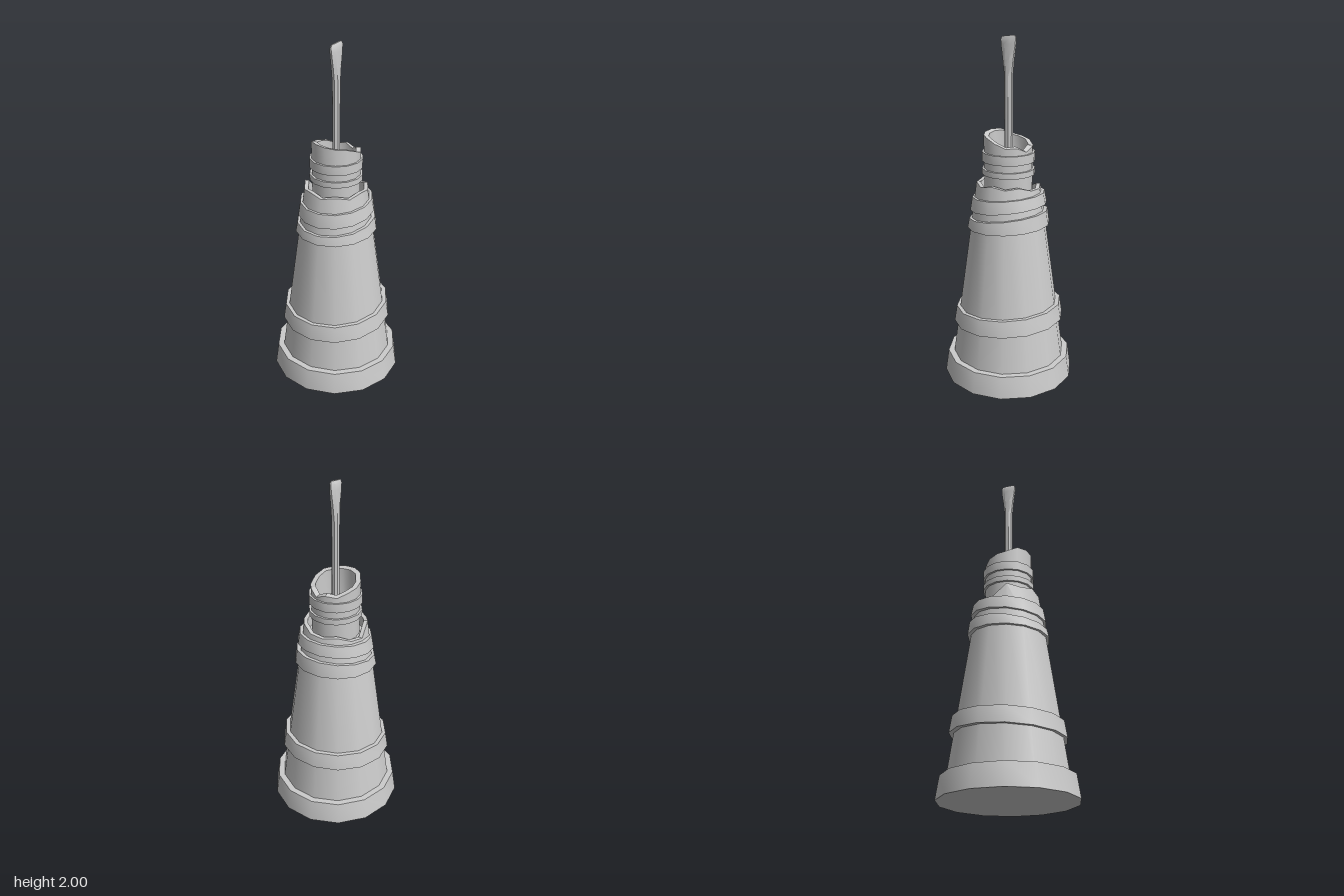
import * as THREE from 'three';
import { toCreasedNormals } from 'three/addons/utils/BufferGeometryUtils.js';

const SIDES = 14;
const material = new THREE.MeshStandardMaterial({ color: 0xcccccc });

// Revolves [radius, height, lift] points; lift(z, i) raises a point on side i.
function turned(name, profile) {
  const points = profile.map(([r, y]) => new THREE.Vector2(r, y));
  const geometry = new THREE.LatheGeometry(points, SIDES, Math.PI / 2);
  const pos = geometry.attributes.position;
  for (let n = 0; n < pos.count; n++) {
    const lift = profile[n % profile.length][2];
    const side = Math.floor(n / profile.length) % SIDES;
    if (lift) pos.setY(n, pos.getY(n) + lift(pos.getZ(n), side));
  }
  const mesh = new THREE.Mesh(toCreasedNormals(geometry, 0.55), material);
  mesh.name = name;
  return mesh;
}

const tilt = (k) => (z) => -k * z;
const jagged = (heights) => (z, i) => heights[i];

// A closed hoop with sloping lower and upper edges.
function band(name, [r0, y0, k0], [r1, y1, k1], thickness) {
  const low = tilt(k0), high = tilt(k1);
  return turned(name, [
    [r0 - thickness, y0, low], [r0, y0, low], [r1, y1, high],
    [r1 - thickness, y1, high], [r0 - thickness, y0, low],
  ]);
}

// Octagonal rod, flattened and widened towards its tip.
function rod() {
  // height, half width in x, half depth in z
  const sections = [
    [1.25, 0.02, 0.023], [1.78, 0.02, 0.023], [1.87, 0.018, 0.033],
    [1.95, 0.015, 0.045], [1.985, 0.012, 0.047], [2.0, 0.005, 0.04],
  ];
  const geometry = new THREE.CylinderGeometry(1, 1, 1, 8, sections.length - 1, false, Math.PI / 8);
  const pos = geometry.attributes.position;
  for (let n = 0; n < pos.count; n++) {
    const row = Math.round((pos.getY(n) + 0.5) * (sections.length - 1));
    const [y, w, d] = sections[row];
    const c = Math.cos(Math.PI / 8);
    const z = (pos.getZ(n) / c) * d;
    const slope = row > 3 ? 0.12 * (z + 0.04) : 0;
    pos.setXYZ(n, (pos.getX(n) / c) * w, y - slope, z);
  }
  const mesh = new THREE.Mesh(toCreasedNormals(geometry, 0.5), material);
  mesh.name = 'rod';
  return mesh;
}

export function createModel() {
  const model = new THREE.Group();
  model.name = 'brokenTower';

  // Solid foot
  model.add(turned('foot', [[0, 0], [0.385, 0], [0.366, 0.13], [0.3, 0.13]]));

  // Tapering body with a broken upper rim
  const rim = jagged([
    0.045, 0.03, 0.04, 0.015, 0.01, 0.02, -0.01,
    -0.02, 0.05, 0.03, 0.045, 0.025, 0.04, 0.025,
  ]);
  model.add(turned('body', [
    [0.335, 0.1], [0.208, 1.0], [0.183, 1.15, rim], [0.16, 1.15, rim], [0.155, 1.12], [0.1, 1.12],
  ]));

  // Slanting hoops round the body
  model.add(band('lowerBand', [0.325, 0.345, 0.066], [0.31, 0.441, 0.07], 0.04));
  model.add(band('middleBand', [0.238, 0.93, 0.065], [0.227, 0.998, 0.146], 0.035));
  model.add(band('upperBand', [0.221, 1.042, 0.128], [0.208, 1.115, 0.1], 0.035));

  // Hollow neck with a slanting, chipped mouth
  const chips = [0, -0.008, 0.008, -0.012, 0.01, -0.005, 0.004, 0, -0.004, 0.01, 0.004, 0, 0, 0.006];
  const mouth = (z, i) => 0.27 * z + chips[i];
  model.add(turned('neck', [
    [0.137, 1.1], [0.14, 1.427, mouth], [0.112, 1.427, mouth], [0.11, 1.3], [0, 1.3],
  ]));
  for (const [y0, y1] of [[1.235, 1.268], [1.31, 1.363]]) {
    model.add(band('neckRing', [0.151, y0, 0], [0.151, y1, 0], 0.025));
  }

  model.add(rod());
  return model;
}
